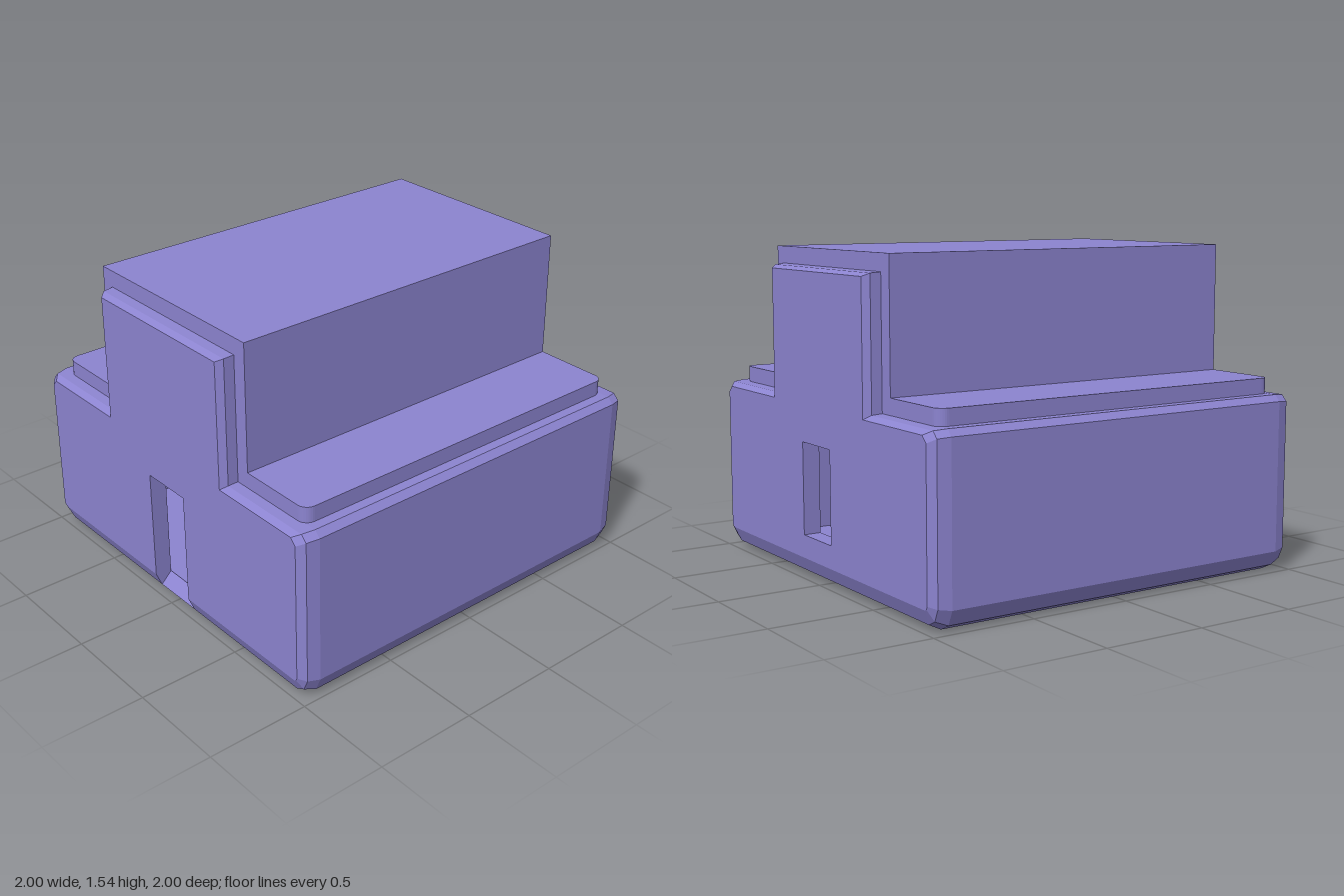
import * as THREE from 'three';

const material = new THREE.MeshStandardMaterial({ color: 0x8c84d0, flatShading: true, side: THREE.DoubleSide });

// Opening limits in z and y, shared by both end walls
const Z0 = -0.12, Z1 = 0.145, TOP = 0.65, SILL = 0.21;

// Skin of quads between two lists of [x, y, z] points
function skin(a, b, { flip = false, closed = false, skip = -1 } = {}) {
  const pos = [];
  const count = closed ? a.length : a.length - 1;
  for (let i = 0; i < count; i++) {
    if (i === skip) continue;
    const j = (i + 1) % a.length;
    const q = flip ? [a[i], b[i], b[j], a[j]] : [a[i], a[j], b[j], b[i]];
    for (const k of [0, 1, 2, 0, 2, 3]) pos.push(...q[k]);
  }
  const geometry = new THREE.BufferGeometry();
  geometry.setAttribute('position', new THREE.Float32BufferAttribute(pos, 3));
  geometry.computeVertexNormals();
  return geometry;
}

// Flat wall across x, facing dir (+1 or -1), from [z, y] points
function wall(points, hole, x, dir) {
  const to2 = (list) => list.map(([z, y]) => new THREE.Vector2(-dir * z, y));
  const shape = new THREE.Shape(to2(points));
  if (hole) shape.holes.push(new THREE.Path(to2(hole)));
  return new THREE.ShapeGeometry(shape).rotateY(dir * Math.PI / 2).translate(x, 0, 0);
}

// Stepped casing section: wide base with a narrower tower, bevelled edges
function section({ hw, hs, y0, y1, y2, c }) {
  const half = (s, door) => [
    [hs, y2], [hs, y1], [hw - 0.03, y1], [hw, y1 - 0.03], [hw, y0 + 0.1 * c],
    [hw - 0.03 * c, y0 + 0.03 * c], [hw - 0.09 * c, y0], [door, y0],
  ].map(([z, y]) => [s * z, y]);
  return [...half(1, Z1), ...half(-1, -Z0).reverse()];
}

const at = (points, x) => points.map(([z, y]) => [x, y, z]);

export function createModel() {
  const model = new THREE.Group();
  const add = (name, geometry, parent = model) => {
    const mesh = new THREE.Mesh(geometry, material);
    mesh.name = name;
    parent.add(mesh);
  };

  // Bevel steps towards each end of the casing
  const steps = [
    { x: 0.91, hw: 1, hs: 0.46, y0: 0, y1: 0.85, y2: 1.46, c: 1 },
    { x: 0.97, hw: 0.985, hs: 0.455, y0: 0.03, y1: 0.845, y2: 1.455, c: 0.8 },
    { x: 1, hw: 0.95, hs: 0.43, y0: 0.1, y1: 0.825, y2: 1.44, c: 0.2 },
  ];
  const rings = steps.map(section);

  // Long body: front, back, underside and shoulders
  const body = rings[0].slice(1, -1);
  add('casingBody', skin(at(body, -0.91), at(body, 0.91)));

  // Hollow interior, following the stepped section
  const cavity = [
    [0.375, 1.38], [0.375, 0.84], [0.77, 0.84], [0.77, 0.08],
    [-0.77, 0.08], [-0.77, 0.84], [-0.375, 0.84], [-0.375, 1.38],
  ];
  const inner = 0.915;
  add('interior', skin(at(cavity, -inner), at(cavity, inner), { flip: true, closed: true }));

  // End walls: a window on the left, a door down to the floor on the right
  for (const s of [1, -1]) {
    const end = new THREE.Group();
    end.name = s > 0 ? 'leftEnd' : 'rightEnd';
    model.add(end);
    const isDoor = s < 0;

    for (let i = 0; i < 2; i++) {
      add('endBevel', skin(at(rings[i], s * steps[i].x), at(rings[i + 1], s * steps[i + 1].x),
        { flip: isDoor, closed: true, skip: isDoor && i === 1 ? 7 : -1 }), end);
    }

    const face = rings[2].slice();
    const window = [[Z1, SILL], [Z0, SILL], [Z0, TOP], [Z1, TOP]];
    const doorway = [[Z1, 0.085], [Z0, 0.085], [Z0, TOP], [Z1, TOP]];
    if (isDoor) face.splice(8, 0, [Z1, TOP], [Z0, TOP]);
    add('endFace', wall(face, isDoor ? null : window, s, s), end);
    add('innerFace', wall(cavity, isDoor ? doorway : window, s * inner, -s), end);

    // Lining of the opening through the wall thickness
    if (isDoor) {
      const outer = [[-1, TOP, Z1], [-1, 0.1, Z1], [-0.97, 0.03, Z1], [-0.97, 0.03, Z0], [-1, 0.1, Z0], [-1, TOP, Z0]];
      const back = outer.map(([, y, z]) => [-inner, Math.max(y, 0.085), z]);
      add('doorLining', skin(outer, back, { closed: true }), end);
    } else {
      add('windowLining', skin(at(window, 1), at(window, inner), { closed: true }), end);
    }
  }

  // Raised cover slab with rounded corners, open beneath the tower
  const w = 0.92, r = 0.05;
  const slab = new THREE.Shape();
  slab.moveTo(-w + r, -w);
  slab.absarc(w - r, -w + r, r, -Math.PI / 2, 0);
  slab.absarc(w - r, w - r, r, 0, Math.PI / 2);
  slab.absarc(-w + r, w - r, r, Math.PI / 2, Math.PI);
  slab.absarc(-w + r, -w + r, r, Math.PI, Math.PI * 1.5);
  slab.holes.push(new THREE.Path([[-0.9, -0.5], [-0.9, 0.5], [0.9, 0.5], [0.9, -0.5]]
    .map(([x, z]) => new THREE.Vector2(x, z))));
  add('coverSlab', new THREE.ExtrudeGeometry(slab, { depth: 0.08, bevelEnabled: false, curveSegments: 4 })
    .rotateX(-Math.PI / 2).translate(0, 0.845, 0));

  // Tower cover over the middle
  const tower = [[-0.53, 0.85], [-0.53, 1.54], [0.53, 1.54], [0.53, 0.85]];
  add('towerCover', skin(at(tower, -w), at(tower, w)));
  for (const s of [1, -1]) add('towerEnd', wall(tower, null, s * w, s));

  return model;
}
